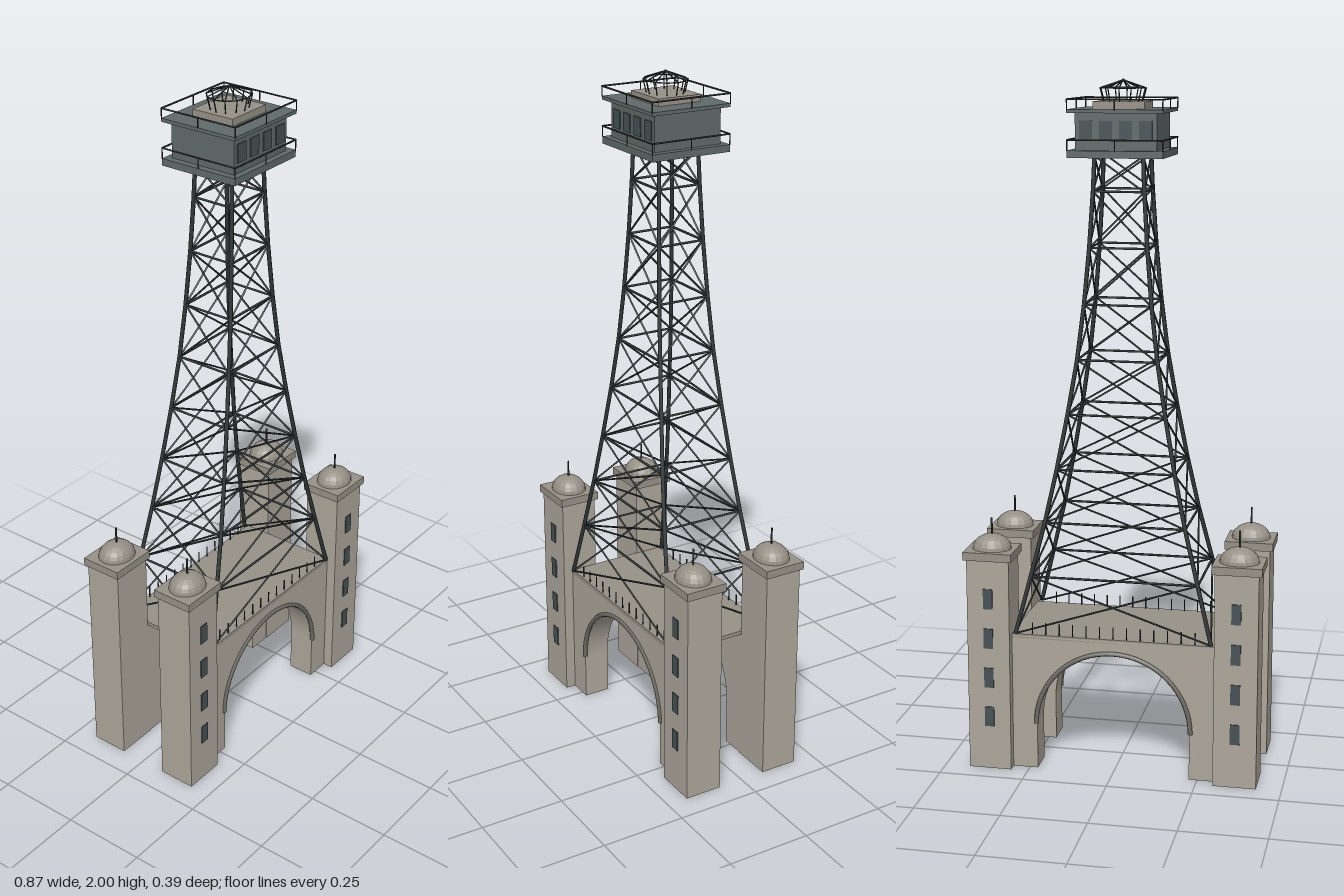
import * as THREE from 'three';

const mat = (color, flatShading = false) => new THREE.MeshStandardMaterial({ color, flatShading });
const stone = mat(0xaca69a), capStone = mat(0x969186), domeStone = mat(0x969186, true);
const steel = mat(0x2f3535), cabinGrey = mat(0x5f6a68), glass = mat(0x465154), trim = mat(0x6f6c64);

function add(parent, name, geometry, material, x = 0, y = 0, z = 0) {
  const mesh = new THREE.Mesh(geometry, material);
  mesh.name = name;
  mesh.position.set(x, y, z);
  parent.add(mesh);
  return mesh;
}

// Box given by its size and the height of its underside
const block = (parent, name, material, w, h, d, x, y0, z) =>
  add(parent, name, new THREE.BoxGeometry(w, h, d), material, x, y0 + h / 2, z);

// Round bar between two points
function bar(parent, name, a, b, radius, material = steel) {
  const dir = b.clone().sub(a);
  const mesh = add(parent, name, new THREE.CylinderGeometry(radius, radius, dir.length(), 6), material);
  mesh.position.copy(a).add(b).multiplyScalar(0.5);
  mesh.quaternion.setFromUnitVectors(new THREE.Vector3(0, 1, 0), dir.normalize());
  return mesh;
}

function group(parent, name) {
  const g = new THREE.Group();
  g.name = name;
  parent.add(g);
  return g;
}

// Corner points of a rectangle, in order around it
const corners = (hx, y, hz) =>
  [[1, 1], [-1, 1], [-1, -1], [1, -1]].map(([sx, sz]) => new THREE.Vector3(sx * hx, y, sz * hz));

// Corner tower with windows, cap, dome and spike
function cornerTower(parent, sx, sz) {
  const g = group(parent, 'cornerTower');
  g.position.set(sx * 0.363, 0, sz * 0.131);
  block(g, 'towerShaft', stone, 0.126, 0.64, 0.112, 0, 0, 0);
  block(g, 'towerCap', capStone, 0.144, 0.024, 0.126, 0, 0.637, 0);
  const dome = add(g, 'towerDome',
    new THREE.SphereGeometry(1, 16, 6, 0, Math.PI * 2, 0, Math.PI / 2), domeStone, 0, 0.66, 0);
  dome.scale.set(0.058, 0.045, 0.051);
  add(g, 'towerSpike', new THREE.CylinderGeometry(0.003, 0.003, 0.055, 6), steel, 0, 0.725, 0);
  for (let i = 0; i < 4; i++)
    block(g, 'towerWindow', glass, 0.028, 0.06, 0.006, 0, 0.132 + i * 0.12, sz * 0.056);
}

// Arched wall with curved trim and a row of posts above
function archWall(parent, sz) {
  const g = group(parent, 'archWall');
  const shape = new THREE.Shape();
  shape.moveTo(-0.302, 0);
  shape.lineTo(-0.226, 0);
  shape.lineTo(-0.226, 0.14);
  shape.absarc(0, 0.14, 0.226, Math.PI, 0, true);
  shape.lineTo(0.226, 0);
  shape.lineTo(0.302, 0);
  shape.lineTo(0.302, 0.408);
  shape.lineTo(-0.302, 0.408);
  const wall = new THREE.ExtrudeGeometry(shape, { depth: 0.08, bevelEnabled: false, curveSegments: 32 });
  add(g, 'archedWall', wall, stone, 0, 0, sz * 0.117 - 0.04);
  add(g, 'archTrim', new THREE.TorusGeometry(0.229, 0.007, 6, 32, Math.PI), trim, 0, 0.14, sz * 0.157);
  for (let i = -6; i <= 6; i++)
    add(g, 'deckPost', new THREE.CylinderGeometry(0.002, 0.002, 0.04, 5), steel, i * 0.04, 0.427, sz * 0.15);
}

// Tapering lattice: [height, half width, half depth] per level
const levels = [
  [0.415, 0.288, 0.16], [0.585, 0.245, 0.143], [0.745, 0.205, 0.128], [0.9, 0.172, 0.114],
  [1.06, 0.142, 0.1], [1.217, 0.116, 0.088], [1.375, 0.097, 0.079], [1.535, 0.083, 0.071],
  [1.692, 0.073, 0.065], [1.79, 0.069, 0.062],
];

function lattice(parent) {
  const g = group(parent, 'latticeMast');
  const rings = levels.map(([y, hx, hz]) => corners(hx, y, hz));
  rings.forEach((ring, i) => {
    const up = rings[i + 1];
    ring.forEach((p, k) => {
      const n = (k + 1) % 4;
      if (i > 0) bar(g, 'crossbar', p, ring[n], 0.0035);
      if (!up) return;
      bar(g, 'mastLeg', p, up[k], 0.0065);
      bar(g, 'diagonalBrace', p, up[n], 0.0028);
      bar(g, 'diagonalBrace', ring[n], up[k], 0.0028);
    });
  });
}

// Rectangular railing with posts
function railing(parent, y0, height) {
  const g = group(parent, 'railing');
  const low = corners(0.134, y0, 0.122), top = corners(0.134, y0 + height, 0.122);
  for (let k = 0; k < 4; k++) {
    const n = (k + 1) % 4;
    bar(g, 'handrail', top[k], top[n], 0.0025);
    for (let i = 0; i < 4; i += 2)
      bar(g, 'railPost', low[k].clone().lerp(low[n], i / 4), top[k].clone().lerp(top[n], i / 4), 0.0018);
  }
}

// Lookout cabin with its platform, roof and open ribbed cupola
function lookout(parent) {
  const g = group(parent, 'lookout');
  block(g, 'platform', cabinGrey, 0.27, 0.02, 0.244, 0, 1.787, 0);
  block(g, 'cabin', cabinGrey, 0.23, 0.106, 0.208, 0, 1.805, 0);
  block(g, 'roof', cabinGrey, 0.27, 0.01, 0.244, 0, 1.909, 0);
  for (const sz of [1, -1])
    for (let i = 0; i < 4; i++)
      block(g, 'cabinWindow', glass, 0.036, 0.052, 0.006, (i - 1.5) * 0.056, 1.836, sz * 0.104);
  railing(g, 1.806, 0.03);
  railing(g, 1.917, 0.029);
  block(g, 'cupolaBase', capStone, 0.146, 0.02, 0.132, 0, 1.919, 0);

  const cupola = group(g, 'cupola');
  const ring = (r, y) => Array.from({ length: 12 }, (_, i) => {
    const a = (i / 12) * Math.PI * 2;
    return new THREE.Vector3(r * Math.cos(a), y, r * 0.9 * Math.sin(a));
  });
  const base = ring(0.056, 1.938), eave = ring(0.066, 1.975), peak = new THREE.Vector3(0, 1.997, 0);
  for (let i = 0; i < 12; i++) {
    bar(cupola, 'cupolaPost', base[i], eave[i], 0.0018);
    bar(cupola, 'cupolaRing', eave[i], eave[(i + 1) % 12], 0.0018);
    bar(cupola, 'cupolaRib', eave[i], peak, 0.0018);
  }
  add(cupola, 'cupolaFinial', new THREE.SphereGeometry(0.004, 8, 6), steel, 0, 1.996, 0);
}

export function createModel() {
  const model = new THREE.Group();
  model.name = 'latticeTower';
  for (const sz of [1, -1]) {
    archWall(model, sz);
    for (const sx of [1, -1]) cornerTower(model, sx, sz);
  }
  block(model, 'deck', capStone, 0.604, 0.012, 0.314, 0, 0.4, 0);
  lattice(model);
  lookout(model);
  return model;
}
